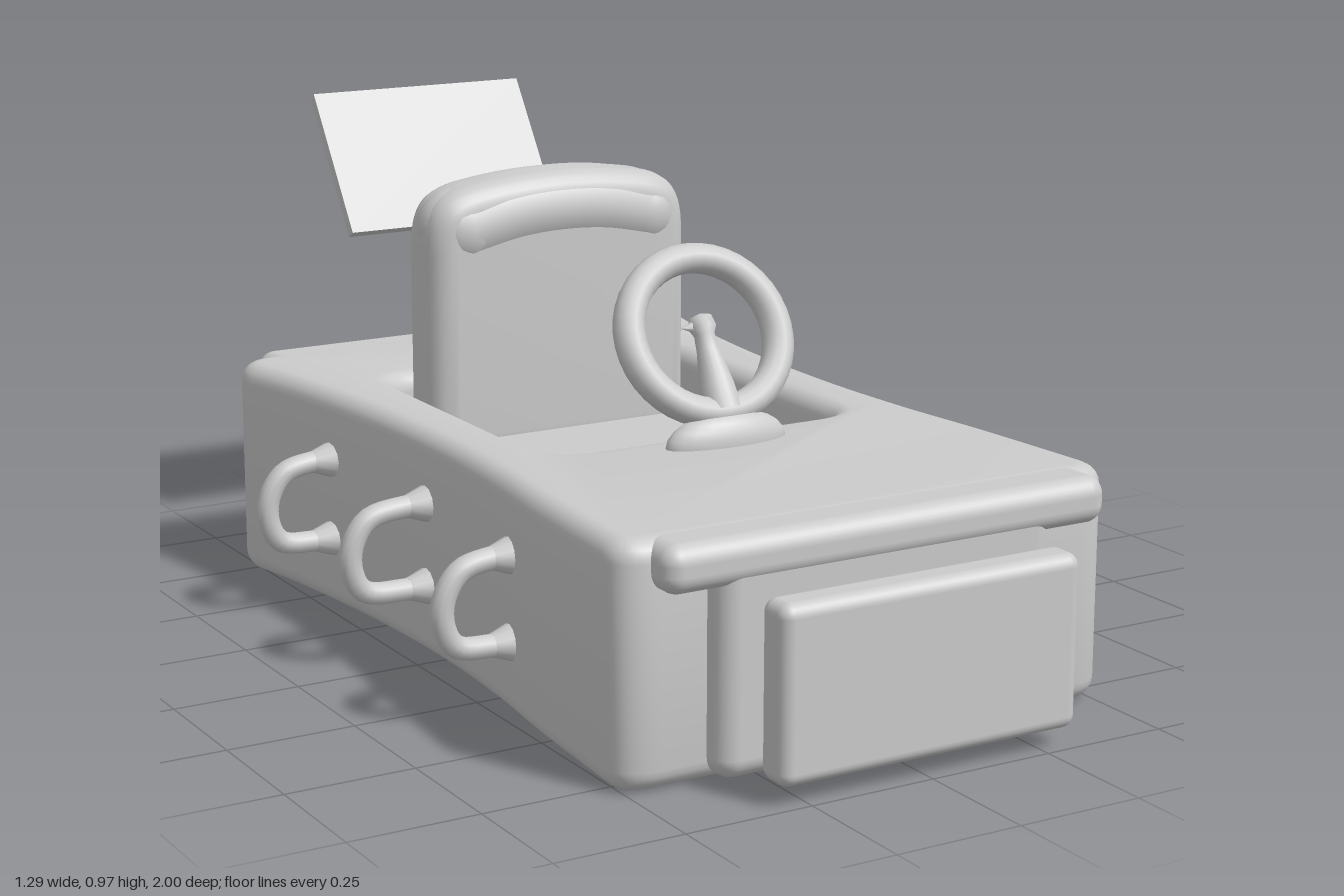
import * as THREE from 'three';
import { toCreasedNormals } from 'three/addons/utils/BufferGeometryUtils.js';
import { RoundedBoxGeometry } from 'three/addons/geometries/RoundedBoxGeometry.js';

const grey = new THREE.MeshStandardMaterial({ color: 0xcccccc });
const V = (x, y, z) => new THREE.Vector3(x, y, z);

function add(parent, name, geometry, x = 0, y = 0, z = 0) {
  const mesh = new THREE.Mesh(geometry, grey);
  mesh.name = name;
  mesh.position.set(x, y, z);
  parent.add(mesh);
  return mesh;
}

// Rounded box given by its lower and upper corners
function block(parent, name, [x0, y0, z0], [x1, y1, z1], r) {
  const geo = new RoundedBoxGeometry(x1 - x0, y1 - y0, z1 - z0, 4, r);
  return add(parent, name, geo, (x0 + x1) / 2, (y0 + y1) / 2, (z0 + z1) / 2);
}

const tube = (points, r, n = 24) =>
  new THREE.TubeGeometry(new THREE.CatmullRomCurve3(points), n, r, 12);

const lathe = (profile, n = 24) =>
  new THREE.LatheGeometry(profile.map(([r, y]) => new THREE.Vector2(r, y)), n);

function roundedRect(path, x0, y0, x1, y1, r) {
  path.moveTo(x0 + r, y0);
  path.lineTo(x1 - r, y0).quadraticCurveTo(x1, y0, x1, y0 + r);
  path.lineTo(x1, y1 - r).quadraticCurveTo(x1, y1, x1 - r, y1);
  path.lineTo(x0 + r, y1).quadraticCurveTo(x0, y1, x0, y1 - r);
  path.lineTo(x0, y0 + r).quadraticCurveTo(x0, y0, x0 + r, y0);
  return path;
}

function bodyGeometry() {
  // Waisted plan, drawn as x and z, with the cockpit cut out
  const side = [[0.53, -0.72], [0.50, -0.55], [0.472, -0.28], [0.463, 0], [0.475, 0.25], [0.50, 0.48], [0.52, 0.74]];
  const points = (s) => side.map(([x, z]) => new THREE.Vector2(s * x, z));
  const plan = new THREE.Shape();
  plan.moveTo(0.53, -0.72);
  plan.splineThru(points(1).slice(1));
  plan.quadraticCurveTo(0.53, 0.82, 0.44, 0.82);
  plan.lineTo(-0.44, 0.82);
  plan.quadraticCurveTo(-0.53, 0.82, -0.52, 0.74);
  plan.splineThru(points(-1).reverse().slice(1));
  plan.quadraticCurveTo(-0.54, -0.8, -0.44, -0.8);
  plan.lineTo(0.44, -0.8);
  plan.quadraticCurveTo(0.54, -0.8, 0.53, -0.72);
  plan.holes.push(roundedRect(new THREE.Path(), -0.325, -0.49, 0.325, 0.23, 0.08));
  const b = 0.04;
  const geo = new THREE.ExtrudeGeometry(plan, {
    depth: 0.45 - 2 * b, bevelThickness: b, bevelSize: b, bevelOffset: -b, bevelSegments: 5, curveSegments: 10,
  });
  geo.rotateX(Math.PI / 2).translate(0, 0.45 - b, 0);
  return toCreasedNormals(geo, 0.6);
}

function buildSeat(parent) {
  const seat = new THREE.Group();
  seat.name = 'seat';
  const outline = new THREE.Shape();
  outline.moveTo(-0.295, 0.3);
  outline.lineTo(0.295, 0.3);
  outline.lineTo(0.295, 0.72);
  outline.bezierCurveTo(0.295, 0.81, 0.27, 0.84, 0.2, 0.855);
  outline.quadraticCurveTo(0, 0.89, -0.2, 0.855);
  outline.bezierCurveTo(-0.27, 0.84, -0.295, 0.81, -0.295, 0.72);
  const b = 0.05;
  const geo = new THREE.ExtrudeGeometry(outline, {
    depth: 0.15 - 2 * b, bevelThickness: b, bevelSize: b, bevelOffset: -b, bevelSegments: 6, curveSegments: 12,
  });
  add(seat, 'seatBack', toCreasedNormals(geo, 0.6), 0, 0, -0.455 + b);
  // Padded roll along the top
  const curve = [V(-0.21, 0.765, 0), V(-0.1, 0.787, 0), V(0, 0.793, 0), V(0.1, 0.787, 0), V(0.21, 0.765, 0)];
  add(seat, 'seatRoll', tube(curve, 0.085), 0, 0, -0.38);
  for (const s of [-1, 1]) add(seat, 'seatRollEnd', new THREE.SphereGeometry(0.085, 20, 14), s * 0.21, 0.765, -0.38);
  parent.add(seat);
}

function buildSteering(parent) {
  const wheel = new THREE.Group();
  wheel.name = 'steeringWheel';
  wheel.position.set(0, 0.64, 0.235);
  wheel.rotation.x = -0.47;
  const rim = add(wheel, 'steeringRim', new THREE.TorusGeometry(0.16, 0.031, 12, 40));
  rim.scale.y = 0.95;
  // Lever standing inside the rim
  add(wheel, 'lever', lathe([[0.038, -0.15], [0.034, -0.1], [0.022, -0.03], [0.02, 0], [0.027, 0.015], [0.022, 0.035], [0, 0.042]], 16));
  const tip = add(wheel, 'leverTip', new THREE.ConeGeometry(0.018, 0.05, 10), -0.025, 0.018, 0);
  tip.rotation.z = Math.PI / 2;
  parent.add(wheel);
  const foot = add(parent, 'steeringFoot', new THREE.SphereGeometry(1, 24, 12), 0, 0.45, 0.315);
  foot.scale.set(0.13, 0.06, 0.045);
}

function buildSign(parent) {
  const sign = new THREE.Group();
  sign.name = 'rearSign';
  const post = add(sign, 'signPost', lathe([[0.065, -0.02], [0.045, 0.03], [0.033, 0.08], [0.03, 0.3], [0, 0.34]], 16), 0, 0.45, -0.655);
  post.rotation.x = -0.59;
  const plate = add(sign, 'signPlate', new THREE.BoxGeometry(0.495, 0.33, 0.022), 0, 0.822, -0.896);
  plate.rotation.x = -0.59;
  add(sign, 'signJoint', new THREE.SphereGeometry(0.038, 16, 12), 0, 0.725, -0.83);
  parent.add(sign);
}

export function createModel() {
  const car = new THREE.Group();
  car.name = 'toyCar';

  add(car, 'body', bodyGeometry());
  block(car, 'cockpitFloor', [-0.355, 0.002, -0.52], [0.355, 0.34, 0.26], 0.01);

  // Stepped ends: centre block with a lip across the top
  block(car, 'frontBlock', [-0.35, 0.01, 0.7], [0.35, 0.43, 0.87], 0.04);
  block(car, 'frontLip', [-0.46, 0.36, 0.7], [0.47, 0.449, 0.875], 0.035);
  block(car, 'rearBlock', [-0.37, 0.01, -0.85], [0.37, 0.43, -0.7], 0.04);
  block(car, 'rearLip', [-0.46, 0.36, -0.85], [0.46, 0.449, -0.7], 0.035);

  // Front panel on its neck
  block(car, 'panelNeck', [-0.26, 0.07, 0.84], [0.27, 0.33, 0.95], 0.02);
  block(car, 'frontPanel', [-0.31, 0.035, 0.92], [0.315, 0.36, 1.0], 0.025);

  buildSeat(car);
  buildSteering(car);
  buildSign(car);

  // Side handles
  for (const s of [-1, 1]) {
    for (const [z, x] of [[0.355, 0.485], [-0.03, 0.465], [-0.42, 0.485]]) {
      const path = [[x - 0.03, 0.31], [x + 0.04, 0.31], [0.585, 0.295], [0.617, 0.25], [0.62, 0.2], [0.595, 0.155], [x + 0.04, 0.145], [x - 0.03, 0.145]];
      add(car, 'sideHandle', tube(path.map(([px, y]) => V(s * px, y, z)), 0.022, 32));
      for (const y of [0.31, 0.145]) {
        const flare = add(car, 'handleFoot', new THREE.CylinderGeometry(0.022, 0.042, 0.055, 12), s * (x + 0.01), y, z);
        flare.rotation.z = -s * Math.PI / 2;
      }
    }
  }

  // Hollow exhausts at the back
  const exhaust = [[0.095, 0], [0.07, 0.03], [0.06, 0.05], [0.078, 0.075], [0.08, 0.1], [0.06, 0.125], [0.045, 0.145], [0.03, 0.14], [0.028, 0.09], [0, 0.085]];
  for (const s of [-1, 1]) {
    const pipe = add(car, 'exhaust', lathe(exhaust), s * 0.275, 0.2, -0.838);
    pipe.rotation.x = -Math.PI / 2;
  }
  return car;
}
